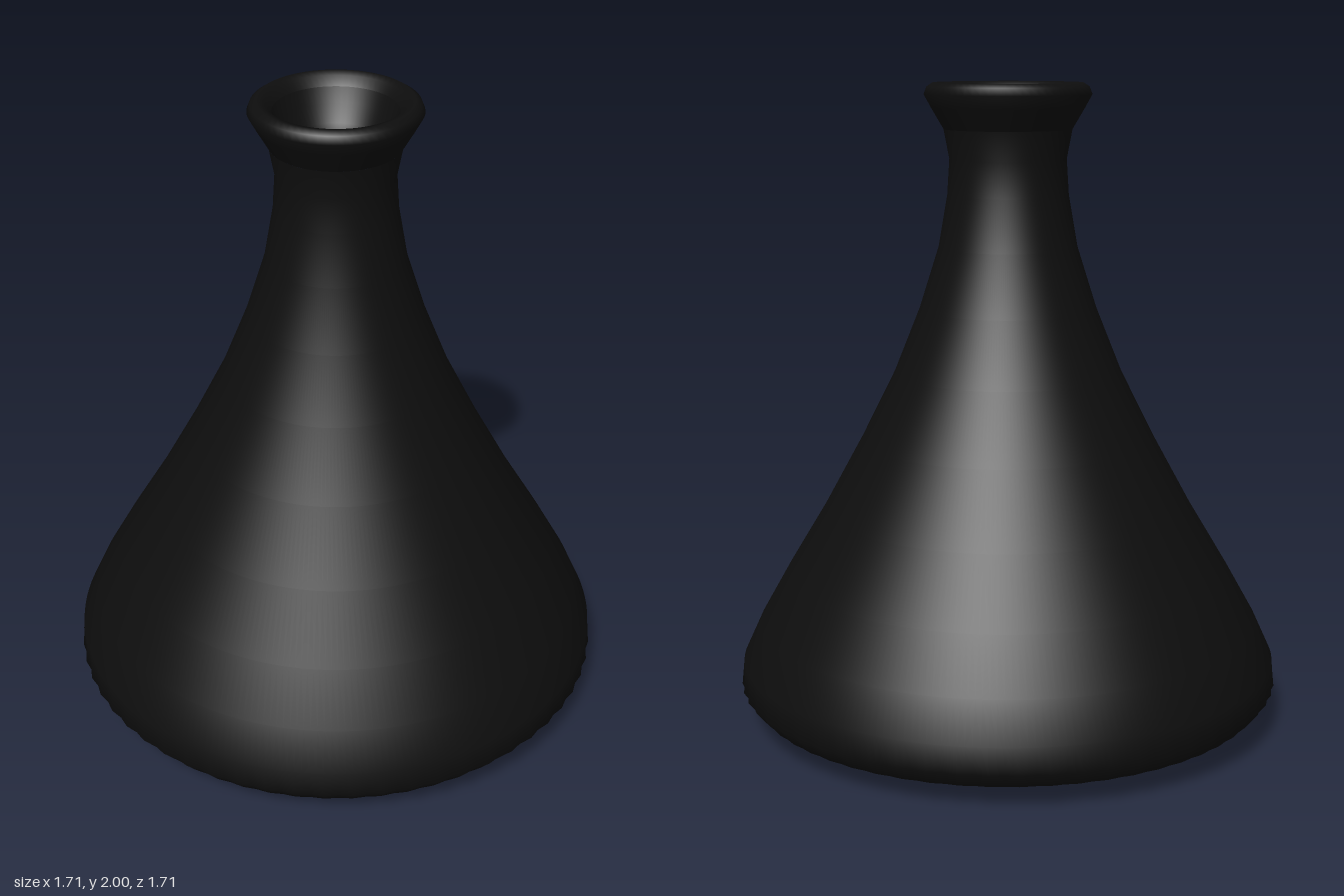
import * as THREE from 'three';

const charcoal = new THREE.MeshStandardMaterial({ color: 0x0e0e0e });
charcoal.name = 'charcoal black';

const lathe = (name, points, segments) => {
  const geometry = new THREE.LatheGeometry(points.map(([r, y]) => new THREE.Vector2(r, y)), segments);
  const mesh = new THREE.Mesh(geometry, charcoal);
  mesh.name = name;
  return mesh;
};

export function createModel() {
  const group = new THREE.Group();
  group.name = 'flask';

  // Body: slightly domed base, rounded foot, sweeping shoulder and narrow neck
  const body = lathe('body', [
    [0, 0], [0.2, 0.012], [0.55, 0.028], [0.74, 0.05], [0.81, 0.07], [0.85, 0.12],
    [0.845, 0.2], [0.79, 0.32], [0.7, 0.48], [0.58, 0.68], [0.46, 0.9], [0.355, 1.11],
    [0.275, 1.31], [0.215, 1.5], [0.187, 1.66], [0.18, 1.77], [0.197, 1.86],
  ], 240);

  // Fine scallops around the foot
  const p = body.geometry.attributes.position;
  for (let i = 0; i < p.count; i++) {
    const x = p.getX(i), y = p.getY(i), z = p.getZ(i);
    const fade = Math.max(0, 1 - Math.abs(y - 0.11) / 0.08);
    const k = 1 + 0.005 * fade * Math.cos(60 * Math.atan2(x, z));
    p.setXYZ(i, x * k, y, z * k);
  }
  group.add(body);

  // Flared lip rolling over the rim
  group.add(lathe('lip', [
    [0.197, 1.86], [0.235, 1.925], [0.257, 1.965], [0.248, 1.988], [0.23, 2], [0.205, 1.992], [0.185, 1.965],
  ], 64));

  // Hollow of the mouth
  group.add(lathe('mouth', [
    [0.185, 1.965], [0.165, 1.92], [0.135, 1.87], [0.09, 1.83], [0.045, 1.81], [0, 1.805],
  ], 64));

  return group;
}
